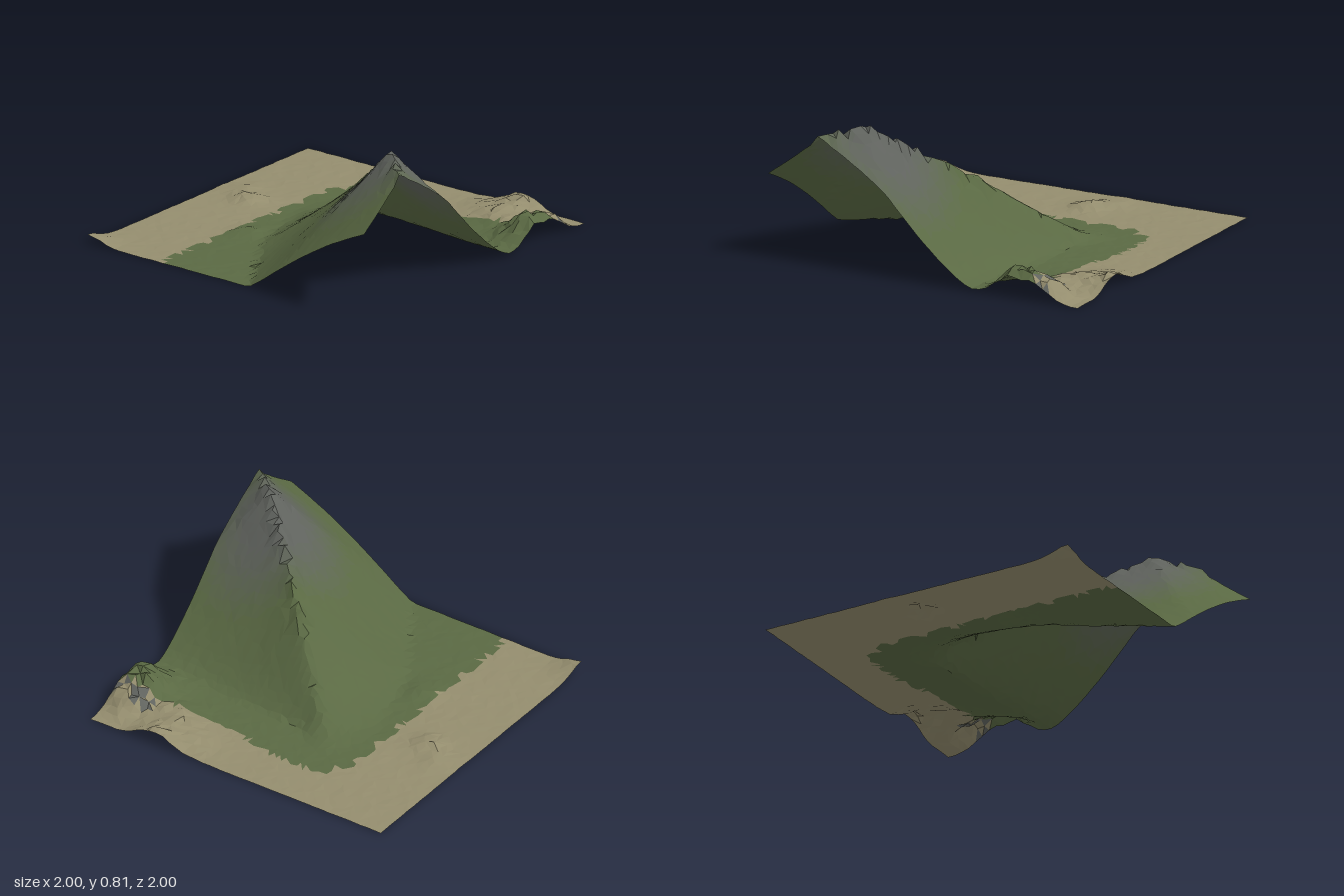
import * as THREE from 'three';

const N = 44; // grid cells per side

// Seeded value per grid point, 0..1
const hash = (i, j) => {
  const s = Math.sin(i * 127.1 + j * 311.7) * 43758.5453;
  return s - Math.floor(s);
};

// Piecewise linear lookup through [x, y] points
function lerpTable(table, x) {
  if (x <= table[0][0]) return table[0][1];
  for (let k = 1; k < table.length; k++) {
    const [x0, y0] = table[k - 1], [x1, y1] = table[k];
    if (x <= x1) return y0 + (y1 - y0) * (x - x0) / (x1 - x0);
  }
  return table[table.length - 1][1];
}

// Crest height and flank widths along the ridge, from its low end to the summit and beyond
const CREST = [[-0.15, 0], [0, 0.03], [0.27, 0.185], [0.63, 0.425], [1.03, 0.655], [1.31, 0.82], [1.6, 0.76], [1.9, 0.68]];
const BACK_WIDTH = [[-0.15, 0.18], [0.18, 0.37], [0.51, 0.59], [1.2, 0.8], [1.8, 0.93]];
const FRONT_WIDTH = [[0.12, 0.1], [1.9, 1.58]];

// Small hills and bumps: x, z, height, radius
const BUMPS = [
  [0.59, 0.92, 0.16, 0.16], [0.8, 0.92, 0.1, 0.11], [1, 0.57, 0.08, 0.14], [0.74, 0.6, 0.055, 0.14],
  [0.85, 0.4, 0.025, 0.14], [-1, -1, 0.055, 0.12], [0.12, -0.72, 0.04, 0.09], [0.22, -0.86, 0.02, 0.1],
  [-0.3, -0.39, 0.025, 0.09],
];

function height(x, z, r) {
  const dx = x - 0.38, dz = z + 0.2;
  const u = -0.66 * dx + 0.75 * dz; // along the ridge
  const t = 0.75 * dx + 0.66 * dz; // across it, positive towards the front
  // the low end of the crest is rounded, the high end sharp
  const round = 0.04 * (1 - THREE.MathUtils.smoothstep(u, 0.3, 0.8));
  const away = Math.hypot(t, round) - round;
  const q = Math.min(1, away / lerpTable(t > 0 ? FRONT_WIDTH : BACK_WIDTH, u));
  let y = lerpTable(CREST, u) * Math.pow(1 - q, t > 0 ? 1.45 : 1.1);
  // jagged crest
  if (u > 0.55) y += (r - 0.4) * 0.03 * Math.exp(-((t / 0.05) ** 2));
  let hill = 0;
  for (const [bx, bz, h, rad] of BUMPS) {
    hill += h * Math.exp(-((x - bx) ** 2 + (z - bz) ** 2) / (rad * rad));
  }
  // the front right corner itself falls back to ground level
  hill *= 1 - 0.9 * Math.exp(-((x - 1) ** 2 + (z - 1) ** 2) / 0.03);
  return Math.max(0, y + hill * (0.85 + 0.3 * r) + 0.003 * r);
}

// Ground materials: sand, then grass fading to rock
const SAND = new THREE.Color(0x948d6e);
const GRASS = new THREE.Color(0x5a6943);
const ROCK = new THREE.Color(0x60635e);
const STEPS = 8;

function zone(c) {
  const edge = c.x > 0.62 ? 0.67 + 0.04 * Math.sin(c.z * 5 + 2.6) : 1;
  const back = -0.49 + 0.02 * Math.sin(c.x * 31);
  if (c.z < back || c.x > edge || (c.x > 0.58 && c.z < -0.42)) {
    // scattered stones on the small hill
    const stone = c.x > 0.68 && c.x < 0.8 && c.z > 0.74 && hash(c.x * 50, c.z * 50) > 0.65;
    return stone ? STEPS : -1;
  }
  // rock fades out around the summit
  const reach = 1 - Math.hypot(c.x + 0.42, c.z - 0.72) / 0.5;
  return Math.round(STEPS * THREE.MathUtils.smoothstep(reach, 0, 0.75));
}

export function createModel() {
  const group = new THREE.Group();
  group.name = 'terrain';

  // Height field with slightly shifted inner points
  const points = [];
  for (let j = 0; j <= N; j++) {
    for (let i = 0; i <= N; i++) {
      const inner = i > 0 && j > 0 && i < N && j < N ? 0.5 : 0;
      const x = -1 + 2 * (i + inner * (hash(i, j) - 0.5)) / N;
      const z = -1 + 2 * (j + inner * (hash(j + 57, i) - 0.5)) / N;
      points.push(new THREE.Vector3(x, height(x, z, hash(i + 13, j + 71)), z));
    }
  }

  // Sort the triangles by ground type
  const zones = new Map();
  const addFace = (a, b, c) => {
    const centre = new THREE.Vector3().add(a).add(b).add(c).divideScalar(3);
    const key = zone(centre);
    if (!zones.has(key)) zones.set(key, []);
    zones.get(key).push(a, b, c);
  };
  for (let j = 0; j < N; j++) {
    for (let i = 0; i < N; i++) {
      const k = j * (N + 1) + i;
      const a = points[k], b = points[k + N + 1], c = points[k + N + 2], d = points[k + 1];
      // irregular diagonals
      if (hash(i + 5, j + 29) > 0.5) {
        addFace(a, b, d);
        addFace(b, c, d);
      } else {
        addFace(a, b, c);
        addFace(a, c, d);
      }
    }
  }

  // One mesh per ground type
  for (const [key, corners] of zones) {
    const geometry = new THREE.BufferGeometry().setFromPoints(corners);
    geometry.computeVertexNormals();
    const color = key < 0 ? SAND : GRASS.clone().lerp(ROCK, key / STEPS);
    const mesh = new THREE.Mesh(geometry, new THREE.MeshStandardMaterial({
      color, flatShading: true, side: THREE.DoubleSide,
    }));
    mesh.name = key < 0 ? 'sandyGround' : key === 0 ? 'grassSlope' : key === STEPS ? 'rockySummit' : `upperSlope${key}`;
    group.add(mesh);
  }
  return group;
}
